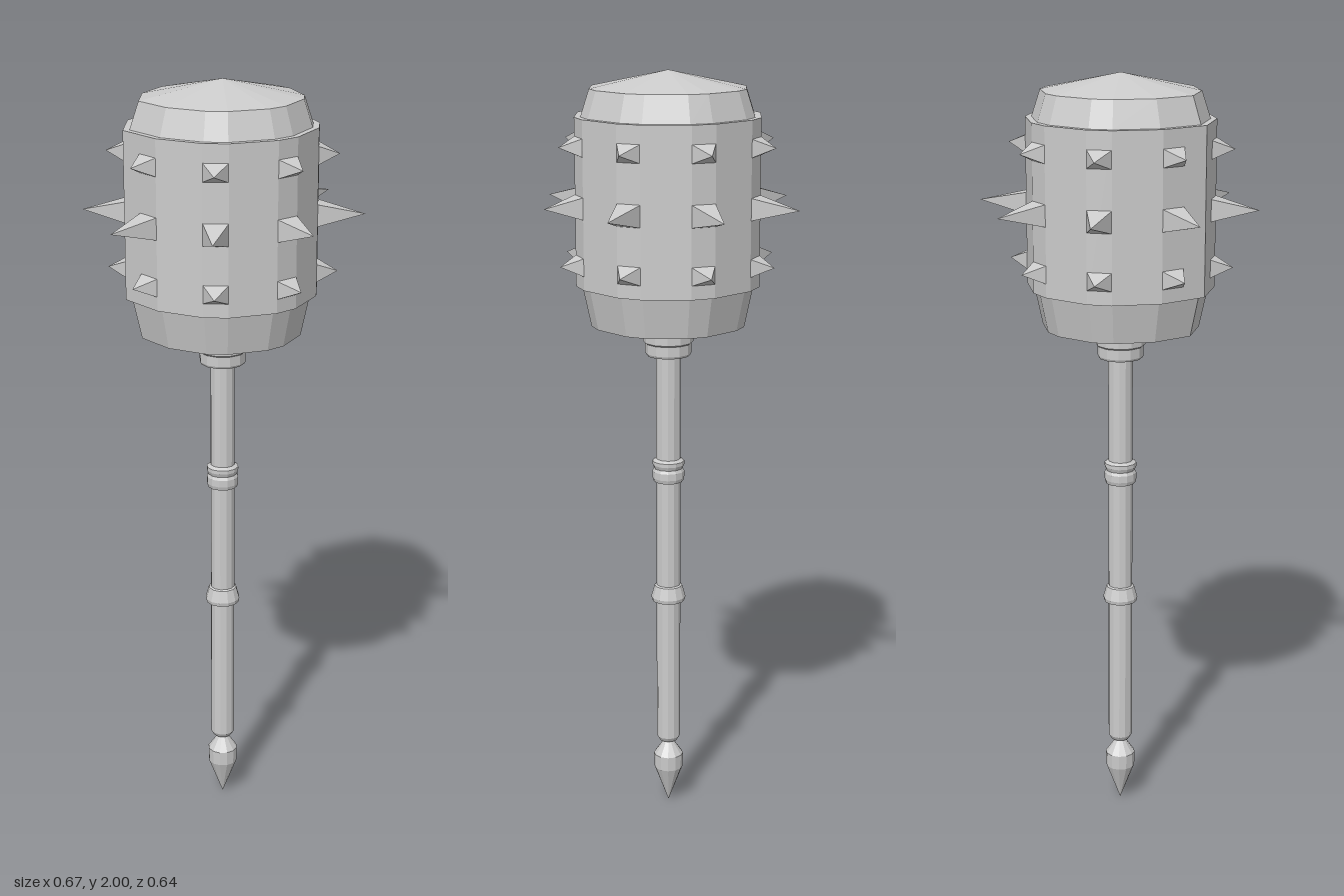
import * as THREE from 'three';

const CX = -0.009, CZ = 0.006; // axis of the mace
const RAD = Math.PI / 180;
const material = new THREE.MeshStandardMaterial({ color: 0xcccccc, flatShading: true });

// Head outline: alternating wide and narrow facets, with a pointed corner on -x
const outline = [-150, -120, -105, -75, -60, -30, -15, 15, 30, 60, 75, 105, 120, 150, 180]
  .map(a => [a * RAD, a === 180 ? 0.254 : 0.24]);

// Stack scaled copies of the outline, given as [scale, y] from bottom to top
function loft(sections) {
  const pos = [];
  const point = ([s, y], i) => {
    const [a, r] = outline[i % outline.length];
    return [Math.cos(a) * r * s, y, Math.sin(a) * r * s];
  };
  for (let k = 0; k < sections.length - 1; k++) {
    const lo = sections[k], hi = sections[k + 1];
    for (let i = 0; i < outline.length; i++) {
      const a0 = point(lo, i), a1 = point(lo, i + 1);
      const b0 = point(hi, i), b1 = point(hi, i + 1);
      if (lo[0] > 0) pos.push(...a0, ...b0, ...a1);
      if (hi[0] > 0) pos.push(...a1, ...b0, ...b1);
    }
  }
  const g = new THREE.BufferGeometry();
  g.setAttribute('position', new THREE.Float32BufferAttribute(pos, 3));
  g.computeVertexNormals();
  return g;
}

function lathe(profile, sides = 12) {
  return new THREE.LatheGeometry(profile.map(([r, y]) => new THREE.Vector2(r, y)), sides);
}

export function createModel() {
  const model = new THREE.Group();
  model.name = 'spikedMace';
  const add = (name, geometry, parent = model) => {
    const mesh = new THREE.Mesh(geometry, material);
    mesh.name = name;
    parent.add(mesh);
    return mesh;
  };

  // Head: barrel with shallow pointed ends, and a raised band around it
  add('head', loft([[0, 1.315], [0.84, 1.36], [0.933, 1.465], [0.933, 1.889], [0.84, 1.957], [0, 2]]));
  add('headBand', loft([[0.92, 1.465], [1, 1.465], [1, 1.889], [0.92, 1.889]]));

  // Handle
  add('collar', lathe([[0, 1.274], [0.057, 1.274], [0.06, 1.28], [0.06, 1.306], [0.065, 1.31], [0.065, 1.335]]));
  add('shaft', lathe([[0, 0.185], [0.025, 0.185], [0.032, 0.197], [0.032, 1.3]]));
  add('upperRing', lathe([[0.03, 0.93], [0.039, 0.932], [0.042, 0.942], [0.042, 0.96],
    [0.038, 0.968], [0.042, 0.978], [0.042, 0.988], [0.03, 0.995]]));
  add('lowerRing', lathe([[0.03, 0.594], [0.044, 0.596], [0.046, 0.606], [0.037, 0.638], [0.03, 0.642]]));
  add('pommel', lathe([[0, 0], [0.039, 0.103], [0.04, 0.143], [0.014, 0.18], [0.014, 0.19]]));

  // Spikes: three rows of four-sided points on the narrow facets
  const spikes = new THREE.Group();
  spikes.name = 'spikes';
  model.add(spikes);
  const longSpikes = [[22.5, 0.119], [67.5, 0.093], [112.5, 0.101], [157.5, 0.117],
    [-157.5, 0.115], [-112.5, 0.092], [-67.5, 0.118], [-22.5, 0.132]];
  const spike = (angle, y, length, height) => {
    const g = new THREE.ConeGeometry(Math.SQRT1_2, 1, 4, 1, true);
    g.rotateY(Math.PI / 4).translate(0, 0.5, 0).rotateZ(-Math.PI / 2);
    g.scale(length, height, 0.0625);
    g.translate(0.237, 0, 0).rotateY(-angle * RAD).translate(0, y, 0);
    return g;
  };
  for (const [angle, length] of longSpikes) {
    add('longSpike', spike(angle, 1.67, length, 0.056), spikes);
    for (const y of [1.523, 1.82]) add('shortSpike', spike(angle, y, 0.053, 0.046), spikes);
  }

  for (const part of model.children) part.position.set(CX, 0, CZ);
  return model;
}
